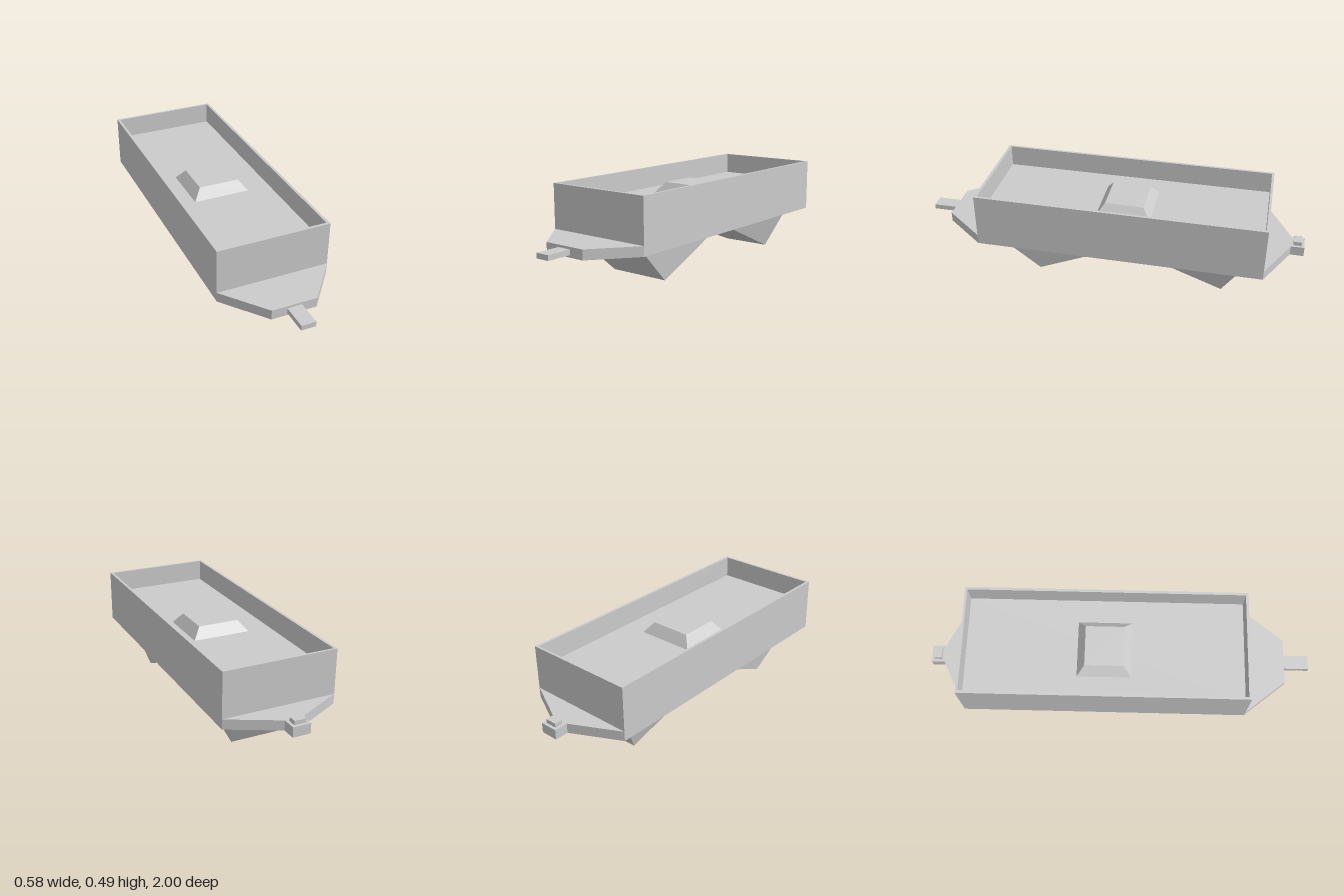
import * as THREE from 'three';

const mat = new THREE.MeshStandardMaterial({ color: 0xcccccc, flatShading: true, side: THREE.DoubleSide });

const add = (group, name, geometry) => {
  const mesh = new THREE.Mesh(geometry, mat);
  mesh.name = name;
  group.add(mesh);
  return mesh;
};

// Rectangle outline in [x, z]
const rect = (hx, z0, z1) => [[-hx, z0], [hx, z0], [hx, z1], [-hx, z1]];
const toPoints = (pts) => pts.map(([x, z]) => new THREE.Vector2(x, -z));

// Horizontal slab from an outline in [x, z], with an optional hole
function slab(outline, y0, y1, hole) {
  const shape = new THREE.Shape(toPoints(outline));
  if (hole) shape.holes.push(new THREE.Path(toPoints(hole)));
  return new THREE.ExtrudeGeometry(shape, { depth: y1 - y0, bevelEnabled: false })
    .rotateX(-Math.PI / 2).translate(0, y0, 0);
}

// Flat-faced solid from corners and polygons
function facets(corners, faces) {
  const pos = [];
  for (const f of faces)
    for (let i = 1; i < f.length - 1; i++)
      pos.push(...corners[f[0]], ...corners[f[i]], ...corners[f[i + 1]]);
  const g = new THREE.BufferGeometry();
  g.setAttribute('position', new THREE.Float32BufferAttribute(pos, 3));
  g.computeVertexNormals();
  return g;
}

// Hopper chute: wide outer edge, narrower inner edge, both at the deck, and a low ridge.
// z order is outer > ridge > inner; flip reverses the faces when it is mirrored.
function hopper(outer, ridge, inner, flip) {
  const y = 0.21;
  const corners = [
    [-0.205, y, outer], [0.205, y, outer],
    [-ridge.x, ridge.y, ridge.z], [ridge.x, ridge.y, ridge.z],
    [-inner.xr, y, inner.zr], [inner.x, y, inner.z],
  ];
  let faces = [[0, 2, 3, 1], [2, 4, 5, 3], [1, 3, 5], [0, 4, 2]];
  if (flip) faces = faces.map((f) => [...f].reverse());
  return facets(corners, faces);
}

export function createModel() {
  const model = new THREE.Group();
  model.name = 'hopperWagon';

  // Open tray: walls around a raised floor
  add(model, 'trayWalls', slab(rect(0.288, -0.81, 0.657), 0.21, 0.488, rect(0.274, -0.798, 0.643)));
  add(model, 'trayFloor', slab(rect(0.274, -0.798, 0.643), 0.21, 0.375));

  // Tapered block in the middle of the floor
  const base = rect(0.15, -0.22, 0.06).map(([x, z]) => [x, 0.375, z]);
  const top = rect(0.107, -0.18, 0.02).map(([x, z]) => [x, 0.43, z]);
  add(model, 'floorBlock', facets([...base, ...top],
    [[4, 7, 6, 5], [0, 4, 5, 1], [1, 5, 6, 2], [2, 6, 7, 3], [3, 7, 4, 0]]));

  // Tapered end decks
  add(model, 'frontDeck', slab([[-0.288, 0.657], [0.288, 0.657], [0.115, 0.87], [-0.115, 0.87]], 0.21, 0.26));
  add(model, 'rearDeck', slab([[-0.288, -0.81], [0.288, -0.81], [0.045, -0.932], [-0.045, -0.932]], 0.21, 0.26));

  // Couplings: plain tongue in front, socket with a capped pocket behind
  add(model, 'frontTongue', slab(rect(0.037, 0.87, 1), 0.222, 0.248));
  const pocket = rect(0.03, -0.985, -0.945);
  add(model, 'rearSocket', slab(rect(0.045, -1, -0.932), 0.21, 0.26, pocket));
  add(model, 'socketCap', slab(pocket, 0.26, 0.28));

  // Discharge hoppers under the tray
  add(model, 'frontHopper', hopper(0.58, { x: 0.167, y: 0.012, z: 0.365 },
    { x: 0.17, z: -0.09, xr: 0.17, zr: -0.09 }, false));
  add(model, 'rearHopper', hopper(-0.72, { x: 0.135, y: 0, z: -0.605 },
    { x: 0.175, z: -0.115, xr: 0.19, zr: -0.085 }, true));

  return model;
}
